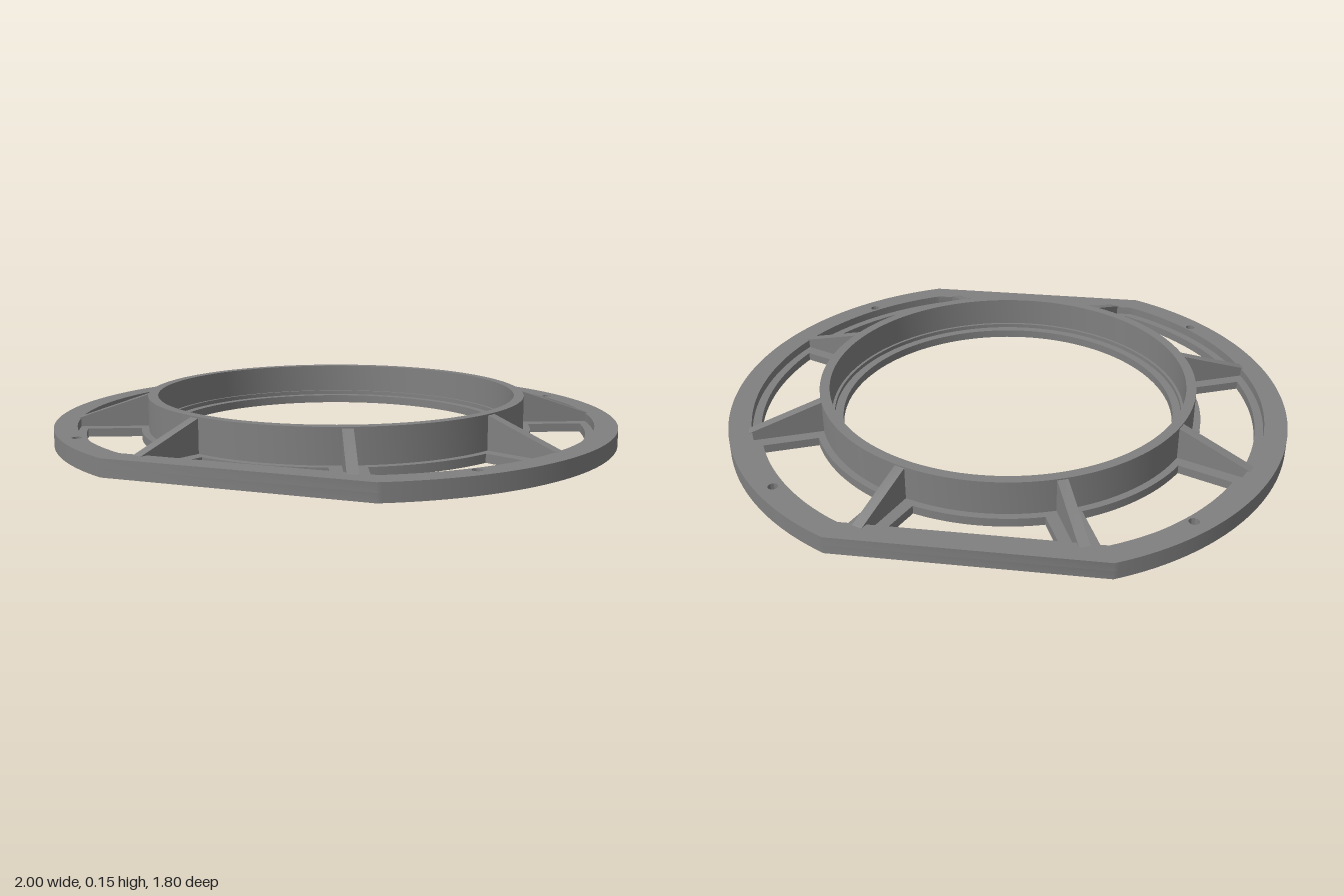
import * as THREE from 'three';
import { toCreasedNormals } from 'three/addons/utils/BufferGeometryUtils.js';

const grey = new THREE.MeshStandardMaterial({ color: 0x808080 });
grey.name = 'grey';

const LEDGE = 0.03, FLANGE = 0.06, TOP = 0.15;
const STEP = Math.PI / 4;

function addMesh(group, geometry, name) {
  const mesh = new THREE.Mesh(toCreasedNormals(geometry, 0.5), grey);
  mesh.name = name;
  group.add(mesh);
  return mesh;
}

// Circle with its front and back cut off flat
function trimmedCircle(path, r, flat) {
  const a = Math.asin(flat / r);
  path.absarc(0, 0, r, -a, a, false);
  path.absarc(0, 0, r, Math.PI - a, Math.PI + a, false);
  path.closePath();
  return path;
}

function roundHole(x, y, r) {
  return new THREE.Path().absarc(x, y, r, 0, Math.PI * 2, true);
}

// Window between two neighbouring spokes
function spokeWindow(middle) {
  const inner = 0.70, outer = 0.89, flat = 0.80, halfSpoke = 0.06, n = 24;
  const points = [];
  const tIn = STEP / 2 - Math.asin(halfSpoke / inner);
  const tOut = STEP / 2 - Math.asin(halfSpoke / 0.88);
  for (let i = 0; i <= n; i++) {
    const a = middle - tIn + (2 * tIn * i) / n;
    points.push(new THREE.Vector2(inner * Math.cos(a), inner * Math.sin(a)));
  }
  for (let i = n; i >= 0; i--) {
    const a = middle - tOut + (2 * tOut * i) / n;
    const r = Math.min(outer, flat / Math.max(Math.abs(Math.sin(a)), 0.01));
    points.push(new THREE.Vector2(r * Math.cos(a), r * Math.sin(a)));
  }
  return new THREE.Path(points);
}

// Horizontal plate from a plan shape
function plate(shape, bottom, height) {
  const g = new THREE.ExtrudeGeometry(shape, { depth: height, bevelEnabled: false, curveSegments: 64 });
  return g.rotateX(-Math.PI / 2).translate(0, bottom, 0);
}

export function createModel() {
  const model = new THREE.Group();
  model.name = 'spokedFlangeRing';

  const screwHoles = () => [[1, 1], [-1, 1], [-1, -1], [1, -1]]
    .map(([sx, sy]) => roundHole(sx * 0.667, sy * 0.667, 0.017));

  // Lower plate with spokes, windows and central bore
  const base = trimmedCircle(new THREE.Shape(), 1, 0.9);
  base.holes.push(roundHole(0, 0, 0.60), ...screwHoles());
  for (let k = 0; k < 8; k++) base.holes.push(spokeWindow(k * STEP));
  addMesh(model, plate(base, 0, LEDGE), 'basePlate');

  // Raised outer rim, leaving a narrow ledge around the windows
  const rim = trimmedCircle(new THREE.Shape(), 1, 0.9);
  rim.holes.push(trimmedCircle(new THREE.Path(), 0.92, 0.82), ...screwHoles());
  addMesh(model, plate(rim, LEDGE, FLANGE - LEDGE), 'outerRim');

  // Upright collar around the bore
  const profile = [[0.675, LEDGE], [0.675, TOP], [0.64, TOP], [0.64, 0.045], [0.63, 0.045], [0.63, LEDGE]]
    .map(([r, y]) => new THREE.Vector2(r, y));
  addMesh(model, new THREE.LatheGeometry(profile, 128), 'collar');

  // Sloping ribs bracing the collar
  const width = 0.036;
  for (let k = 0; k < 8; k++) {
    const angle = (k + 0.5) * STEP;
    const end = Math.abs(Math.sin(angle)) > 0.7 ? 0.905 : 0.93;
    const side = new THREE.Shape([[0.66, LEDGE], [end, LEDGE], [end, FLANGE], [0.67, 0.147], [0.66, 0.147]]
      .map(([r, y]) => new THREE.Vector2(r, y)));
    const g = new THREE.ExtrudeGeometry(side, { depth: width, bevelEnabled: false });
    g.translate(0, 0, -width / 2);
    addMesh(model, g, 'rib').rotation.y = angle;
  }
  return model;
}
